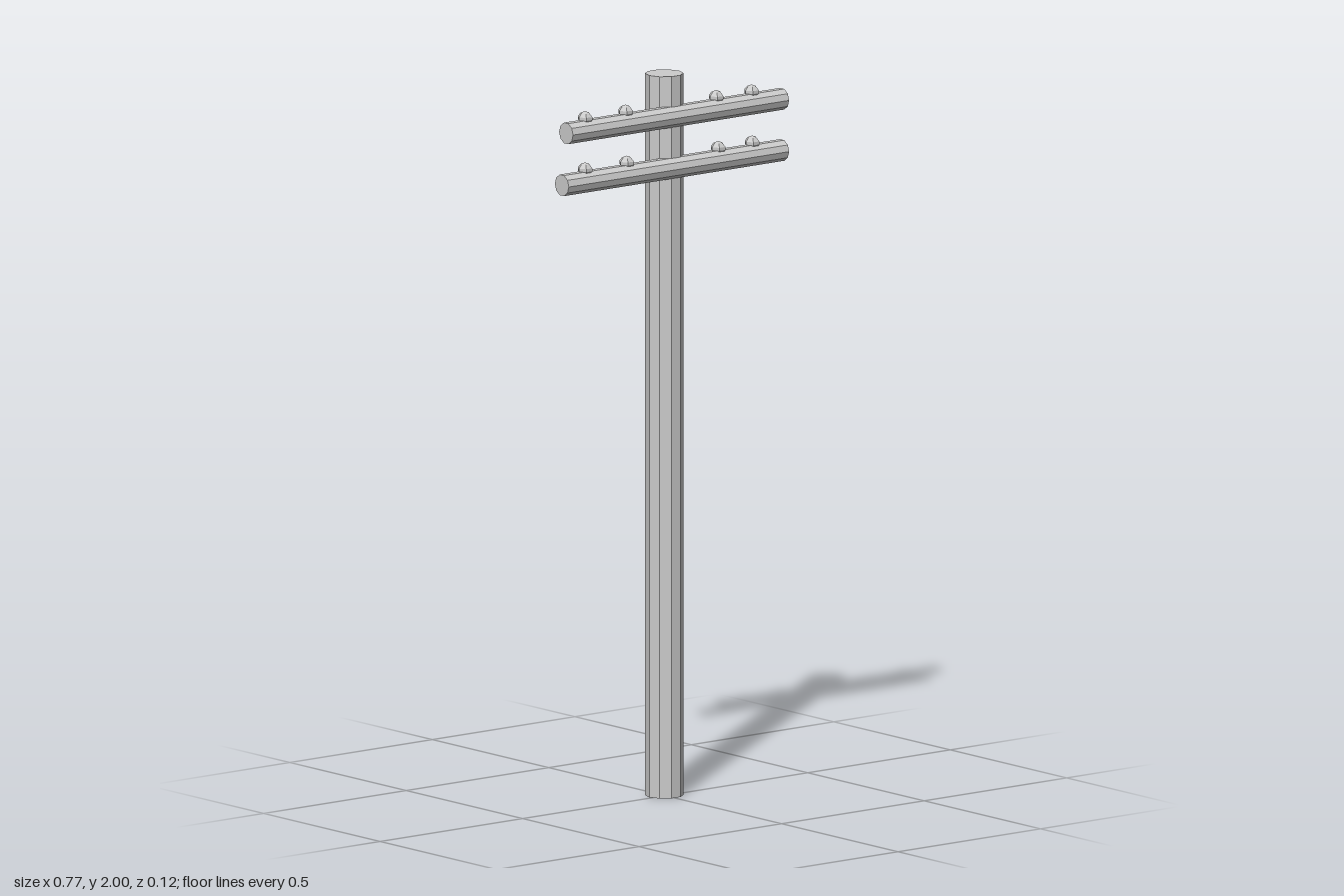
import * as THREE from 'three';

const material = new THREE.MeshStandardMaterial({ color: 0xcccccc, flatShading: true });

function addMesh(parent, name, geometry, x, y, z) {
  const mesh = new THREE.Mesh(geometry, material);
  mesh.name = name;
  mesh.position.set(x, y, z);
  parent.add(mesh);
  return mesh;
}

// Six-sided domed knob; its base sinks slightly into the arm
function insulatorGeometry() {
  const profile = [[0, -0.012], [0.014, -0.012], [0.021, 0.001], [0.021, 0.009], [0.013, 0.019], [0, 0.024]];
  return new THREE.LatheGeometry(profile.map(([r, y]) => new THREE.Vector2(r, y)), 6, Math.PI / 2);
}

// Crossarm lying along x, with a row of insulators on its top face
function addCrossarm(parent, name, y, left, right, knobs) {
  const arm = new THREE.Group();
  arm.name = name;
  arm.position.set(0, y, 0.03);
  const beam = new THREE.CylinderGeometry(0.03, 0.03, right - left, 10);
  beam.rotateZ(Math.PI / 2);
  // Put corners at the front and back, flats on top and bottom
  addMesh(arm, 'beam', beam, (left + right) / 2, 0, 0);
  const knob = insulatorGeometry();
  for (const x of knobs) addMesh(arm, 'insulator', knob, x, 0.0285, -0.003);
  parent.add(arm);
}

export function createModel() {
  const model = new THREE.Group();
  model.name = 'utilityPole';

  // Ten-sided pole with flats at the front and back
  const pole = new THREE.CylinderGeometry(0.0525, 0.0525, 2, 10, 1, false, Math.PI / 2);
  addMesh(model, 'pole', pole, 0.005, 1, -0.01);

  addCrossarm(model, 'upperCrossarm', 1.887, -0.372, 0.386, [-0.303, -0.161, 0.157, 0.281]);
  addCrossarm(model, 'lowerCrossarm', 1.745, -0.387, 0.386, [-0.303, -0.157, 0.164, 0.283]);
  return model;
}
